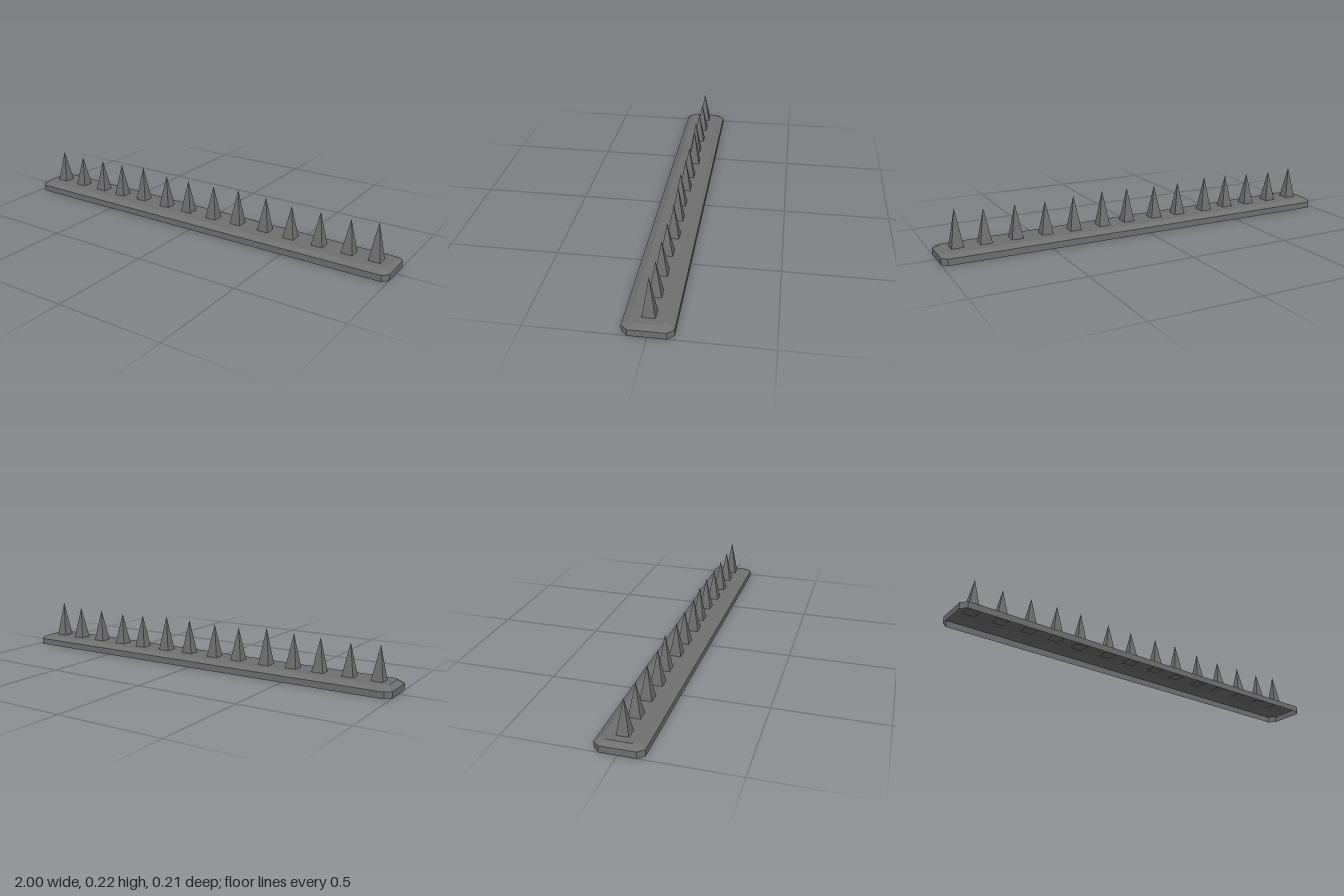
import * as THREE from 'three';

const steel = new THREE.MeshStandardMaterial({ color: 0x707070, side: THREE.DoubleSide });
steel.name = 'dark grey steel';

// Octagonal outline: a rectangle with cut corners, counter-clockwise seen from above
function ring(hx, hz, cx, cz, height) {
  return [
    [hx, hz - cz], [hx, cz - hz], [hx - cx, -hz], [cx - hx, -hz],
    [-hx, cz - hz], [-hx, hz - cz], [cx - hx, hz], [hx - cx, hz],
  ].map(([x, z]) => new THREE.Vector3(x, height(x), z));
}

// Bevelled plate, hollow and open underneath
function plateGeometry() {
  const rings = [
    ring(1, 0.106, 0.025, 0.028, () => 0),
    ring(1, 0.106, 0.025, 0.028, () => 0.03),
    ring(0.975, 0.076, 0.018, 0.02, (x) => 0.046 - 0.002 * x),
  ];
  const points = [];
  const tri = (a, b, c) => [a, b, c].forEach((p) => points.push(p.x, p.y, p.z));
  for (let r = 0; r < 2; r++) {
    for (let i = 0; i < 8; i++) {
      const j = (i + 1) % 8, lo = rings[r], hi = rings[r + 1];
      tri(lo[i], lo[j], hi[j]);
      tri(lo[i], hi[j], hi[i]);
    }
  }
  const top = rings[2];
  for (let i = 1; i < 7; i++) tri(top[0], top[i], top[i + 1]);
  const g = new THREE.BufferGeometry();
  g.setAttribute('position', new THREE.Float32BufferAttribute(points, 3));
  g.computeVertexNormals();
  return g;
}

// Four-sided spike with a square foot, standing on y = 0, one unit tall
function spikeGeometry() {
  let g = new THREE.ConeGeometry(0.028 * Math.SQRT2, 1, 4);
  g.rotateY(Math.PI / 4);
  g.translate(0, 0.5, 0);
  g = g.toNonIndexed();
  g.computeVertexNormals();
  return g;
}

export function createModel() {
  const model = new THREE.Group();
  model.name = 'spikeStrip';

  const plate = new THREE.Mesh(plateGeometry(), steel);
  plate.name = 'basePlate';
  model.add(plate);

  // Spikes: x, z, tip height
  const spikes = [
    [-0.913, 0, 0.204], [-0.778, 0, 0.198], [-0.636, 0, 0.203], [-0.503, 0.003, 0.207],
    [-0.368, -0.007, 0.217], [-0.214, 0, 0.203], [-0.08, 0, 0.203], [0.07, 0.003, 0.208],
    [0.205, -0.004, 0.215], [0.354, -0.007, 0.207], [0.492, 0, 0.198], [0.637, 0, 0.203],
    [0.782, 0, 0.203], [0.91, 0.003, 0.22],
  ];
  const geometry = spikeGeometry();
  const foot = 0.042;
  spikes.forEach(([x, z, tip], i) => {
    const spike = new THREE.Mesh(geometry, steel);
    spike.name = `spike${i + 1}`;
    spike.position.set(x, foot, z);
    spike.scale.y = tip - foot;
    model.add(spike);
  });
  return model;
}
